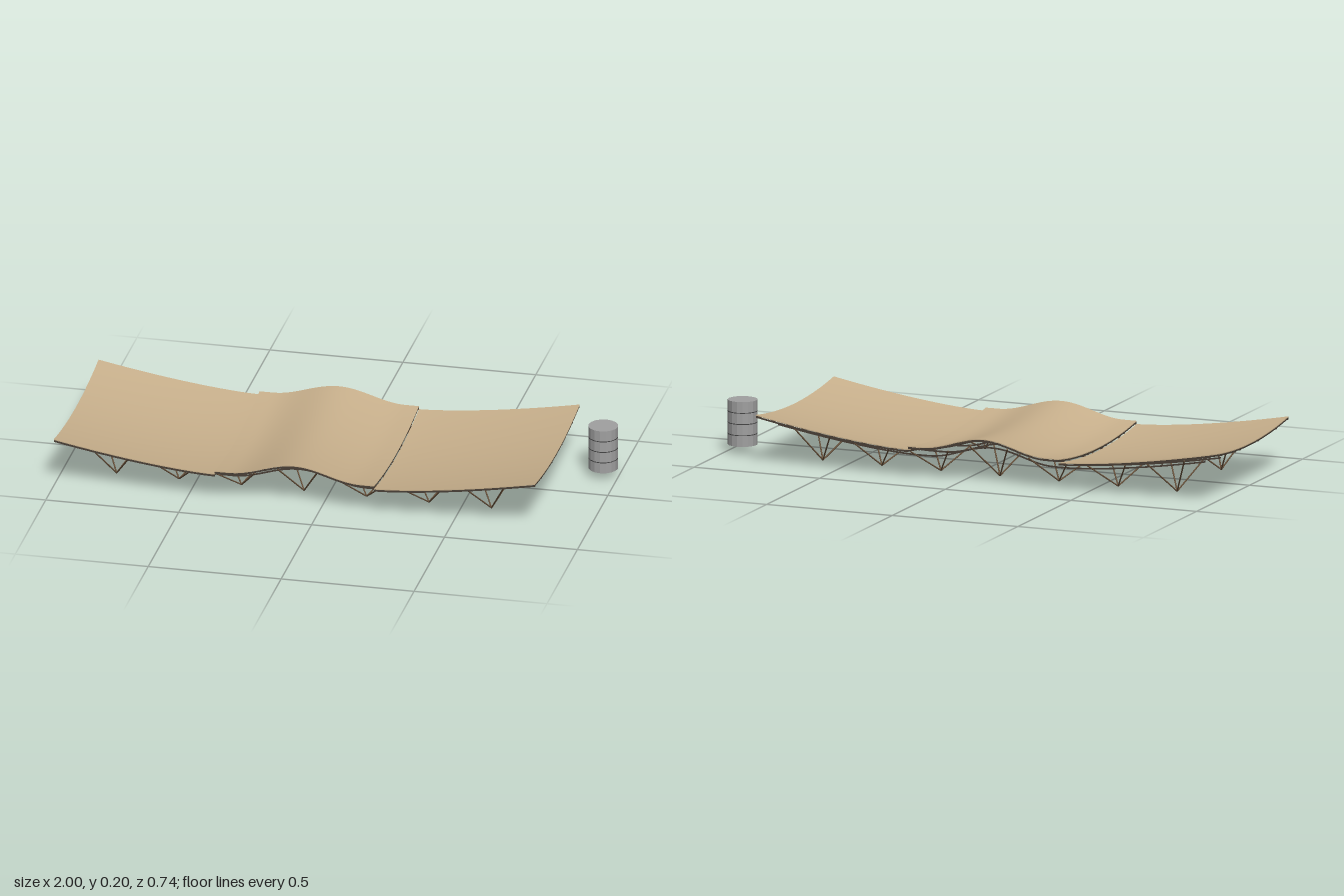
import * as THREE from 'three';

const X0 = -1, XA = -0.395, XB = 0.205, X1 = 0.81, HALF = 0.368, MID = -0.095;
const tan = new THREE.MeshStandardMaterial({ color: 0xc8b08c, side: THREE.DoubleSide });
const wood = new THREE.MeshStandardMaterial({ color: 0x6b543d });
const dark = new THREE.MeshStandardMaterial({ color: 0x4a4037 });
const grey = new THREE.MeshStandardMaterial({ color: 0xa0a0a0, flatShading: true });
const band = new THREE.MeshStandardMaterial({ color: 0x444444 });

// Roof surface: upswept ends, a hump in the middle, a sag across the depth
function roofY(x, z) {
  const d = Math.abs(x - MID);
  let y = 0.079;
  if (d > 0.3) y += 0.079 * Math.pow((d - 0.3) / 0.605, 1.5);
  if (d < 0.25) y += 0.05 * Math.cos((Math.PI / 2) * (d / 0.25)) ** 2;
  return y + 0.029 * (z / HALF) ** 2;
}

// A bar or sheet bent to follow the roof, its top lying "lift" above it
function bent(name, xa, xb, za, zb, lift, thick, mat) {
  const nx = Math.max(1, Math.ceil((xb - xa) / 0.02));
  const nz = Math.max(1, Math.ceil((zb - za) / 0.04));
  const g = new THREE.BoxGeometry(xb - xa, thick, zb - za, nx, 1, nz);
  g.translate((xa + xb) / 2, lift - thick / 2, (za + zb) / 2);
  const p = g.attributes.position;
  for (let i = 0; i < p.count; i++) p.setY(i, p.getY(i) + roofY(p.getX(i), p.getZ(i)));
  g.computeVertexNormals();
  const m = new THREE.Mesh(g, mat);
  m.name = name;
  return m;
}

// A straight round pole between two points
function pole(name, a, b, r, mat) {
  const dir = b.clone().sub(a);
  const m = new THREE.Mesh(new THREE.CylinderGeometry(r, r, dir.length(), 6), mat);
  m.position.copy(a).add(b).multiplyScalar(0.5);
  m.quaternion.setFromUnitVectors(new THREE.Vector3(0, 1, 0), dir.normalize());
  m.name = name;
  return m;
}

export function createModel() {
  const model = new THREE.Group();
  model.name = 'canopyWithTank';

  // Three roof sheets, the middle one raised above its neighbours
  const sections = [
    ['right', X0, XA, 0], ['middle', XA, XB, 0.012], ['left', XB, X1, 0],
  ];
  for (const [side, xa, xb, lift] of sections) {
    const s = new THREE.Group();
    s.name = side + 'RoofSection';
    s.add(bent('roofSheet', xa, xb, -HALF, HALF, lift, 0.003, tan));
    // Purlins across the depth
    const n = 10;
    for (let i = 0; i <= n; i++) {
      const x = xa + 0.004 + ((xb - xa - 0.008) * i) / n;
      s.add(bent('purlin', x - 0.003, x + 0.003, -HALF, HALF, lift - 0.003, 0.006, dark));
    }
    // Rafters along the length
    for (const z of [-0.364, -0.255, -0.085, 0.085, 0.255, 0.364])
      s.add(bent('rafter', xa, xb, z - 0.0025, z + 0.0025, lift - 0.005, 0.006, dark));
    model.add(s);
  }

  // Lower beams running under all sections
  for (const z of [-0.285, -0.142, 0, 0.142, 0.285])
    model.add(bent('lowerBeam', -0.945, 0.755, z - 0.002, z + 0.002, -0.022, 0.006, dark));

  // Two rows of feet, four spreading struts on each
  for (let i = 0; i < 7; i++) {
    for (const side of [-1, 1]) {
      const foot = new THREE.Group();
      foot.name = 'branchingSupport';
      const x = -0.8 + i * 0.235;
      const base = new THREE.Vector3(x, 0.003, side * 0.208);
      for (const dx of [-0.075, 0.075]) for (const dz of [-0.11, 0.11]) {
        const tx = x + dx, tz = side * 0.208 + dz;
        foot.add(pole('strut', base, new THREE.Vector3(tx, roofY(tx, tz) - 0.012, tz), 0.0028, wood));
      }
      model.add(foot);
    }
  }

  // Free-standing tank with three hoops
  const tank = new THREE.Group();
  tank.name = 'tank';
  tank.position.set(0.942, 0.114, -0.179);
  const body = new THREE.Mesh(new THREE.CylinderGeometry(0.055, 0.055, 0.168, 16), grey);
  body.name = 'tankBody';
  tank.add(body);
  for (const y of [-0.042, 0, 0.042]) {
    const hoop = new THREE.Mesh(new THREE.CylinderGeometry(0.0555, 0.0555, 0.003, 16), band);
    hoop.name = 'tankHoop';
    hoop.position.y = y;
    tank.add(hoop);
  }
  model.add(tank);
  return model;
}
